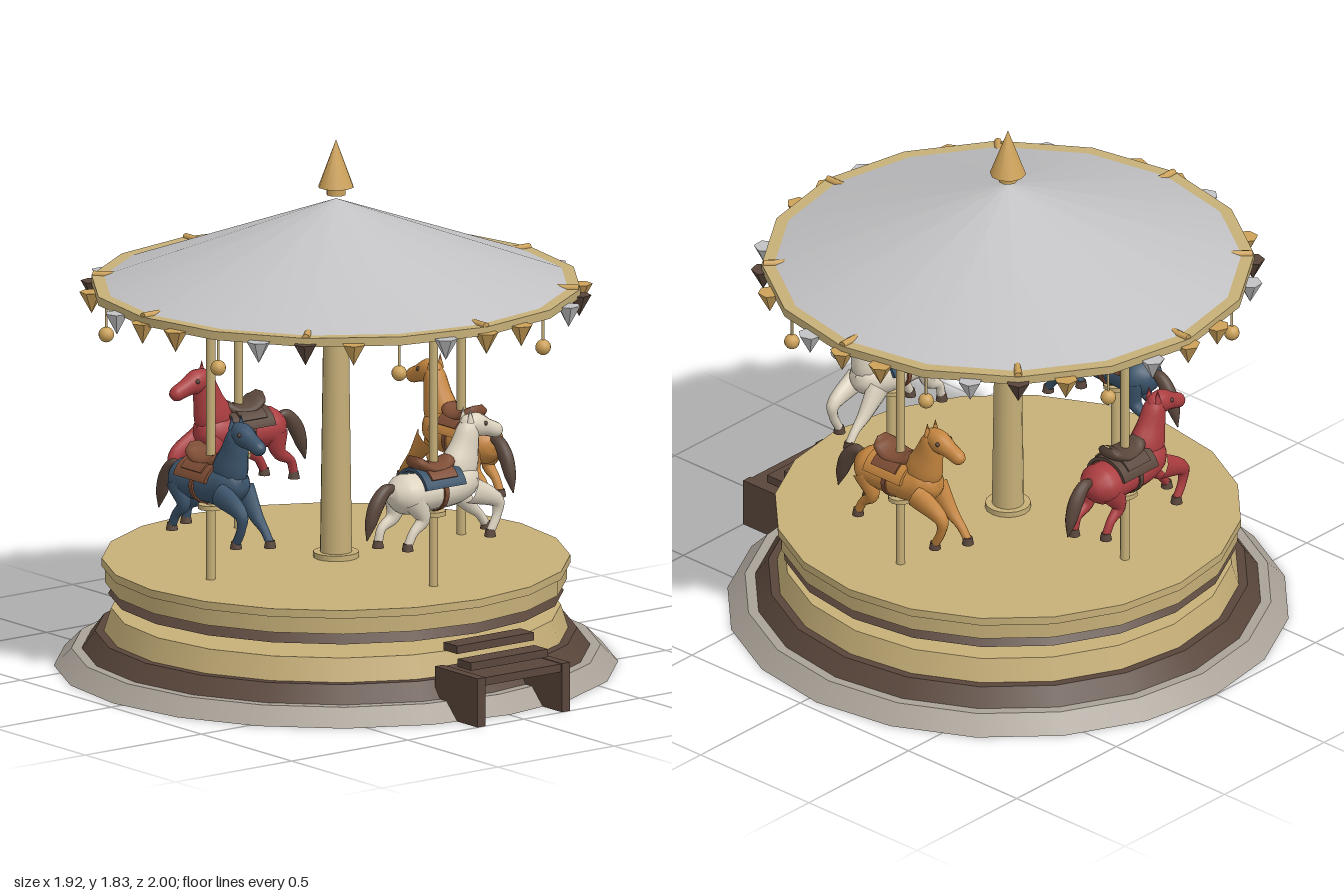
import * as THREE from 'three';

const mat = (name, color, flatShading = false) => {
  const m = new THREE.MeshStandardMaterial({ color });
  m.name = name;
  m.flatShading = flatShading;
  return m;
};

export function createModel() {
  const trim = mat('paleGold', 0xc6af78);
  const brass = mat('brass', 0xcda25a);
  const stone = mat('stone', 0xaaa298);
  const wood = mat('darkWood', 0x59463b);
  const silver = mat('silver', 0xc2c2c4);
  const cream = mat('cream', 0xddd3c0);
  const orange = mat('orange', 0xc4853f);
  const red = mat('red', 0xab3d40);
  const blue = mat('blue', 0x3b546b);
  const leather = mat('leather', 0x7c4c34);

  const model = new THREE.Group();
  model.name = 'carousel';
  const ride = new THREE.Group();
  ride.name = 'ride';
  ride.position.z = -0.04;
  model.add(ride);

  const add = (parent, name, geo, material, x = 0, y = 0, z = 0) => {
    const m = new THREE.Mesh(geo, material);
    m.name = name;
    m.position.set(x, y, z);
    parent.add(m);
    return m;
  };
  // Upright cylinder given by its bottom and top heights
  const drum = (parent, name, material, y0, y1, r0, r1, sides = 20, x = 0, z = 0) =>
    add(parent, name, new THREE.CylinderGeometry(r1, r0, y1 - y0, sides), material, x, (y0 + y1) / 2, z);

  // Tapered body along a path in the xy plane; stations are [x, y, height radius, width radius]
  const loft = (stations, steps = 20, sides = 14) => {
    const path = new THREE.CatmullRomCurve3(stations.map(s => new THREE.Vector3(s[0], s[1], 0)));
    const size = new THREE.CatmullRomCurve3(stations.map(s => new THREE.Vector3(s[2], s[3], 0)));
    const pos = [], index = [];
    for (let i = 0; i <= steps; i++) {
      const p = path.getPoint(i / steps), t = path.getTangent(i / steps), s = size.getPoint(i / steps);
      const r = Math.max(s.x, 0.001), w = Math.max(s.y, 0.001);
      for (let j = 0; j < sides; j++) {
        const a = j / sides * Math.PI * 2, c = Math.cos(a) * r;
        pos.push(p.x - t.y * c, p.y + t.x * c, Math.sin(a) * w);
        if (i === steps) continue;
        const k = i * sides + j, l = i * sides + (j + 1) % sides;
        index.push(k, l, k + sides, l, l + sides, k + sides);
      }
    }
    const g = new THREE.BufferGeometry();
    g.setAttribute('position', new THREE.Float32BufferAttribute(pos, 3));
    g.setIndex(index);
    g.computeVertexNormals();
    return g;
  };

  // Band wrapped over the horse's back, from one angle round to its mirror
  const band = (rz, ry, thick, startDeg, width) => {
    const a0 = startDeg * Math.PI / 180, a1 = Math.PI - a0;
    const pts = [];
    for (const [d, from, to] of [[0, a0, a1], [-thick, a1, a0]])
      for (let i = 0; i <= 20; i++) {
        const a = from + (to - from) * i / 20;
        pts.push(new THREE.Vector2(Math.cos(a) * (rz + d), Math.sin(a) * (ry + d)));
      }
    const g = new THREE.ExtrudeGeometry(new THREE.Shape(pts), { depth: width, bevelEnabled: false });
    g.translate(0, 0, -width / 2);
    return g.rotateY(Math.PI / 2);
  };

  // Stepped base and raised platform
  drum(ride, 'stoneBase', stone, 0, 0.06, 0.96, 0.9);
  drum(ride, 'darkPlinth', wood, 0.06, 0.12, 0.865, 0.82);
  drum(ride, 'lowerDrum', trim, 0.12, 0.2, 0.79, 0.765);
  drum(ride, 'hub', trim, 0.2, 0.25, 0.195, 0.195);
  drum(ride, 'platformSkirt', wood, 0.25, 0.288, 0.775, 0.74);
  drum(ride, 'platform', trim, 0.288, 0.345, 0.785, 0.785);
  drum(ride, 'platformRim', trim, 0.345, 0.373, 0.797, 0.797);

  // Centre column
  drum(ride, 'columnFoot', trim, 0.373, 0.392, 0.078, 0.078, 16);
  drum(ride, 'column', trim, 0.373, 1.31, 0.055, 0.042, 16);

  // Canopy and finial
  drum(ride, 'canopyRim', trim, 1.303, 1.333, 0.838, 0.838, 16);
  add(ride, 'canopy', new THREE.ConeGeometry(0.795, 0.292, 16), silver, 0, 1.479, 0);
  drum(ride, 'finialCollar', brass, 1.638, 1.668, 0.033, 0.033, 10);
  add(ride, 'finial', new THREE.ConeGeometry(0.062, 0.165, 10), brass, 0, 1.748, 0);

  // Radial pegs and hanging baubles around the rim
  for (let i = 0; i < 8; i++) {
    const spoke = new THREE.Group();
    spoke.name = 'rimSection';
    spoke.rotation.y = i * Math.PI / 4;
    ride.add(spoke);
    const peg = add(spoke, 'peg', new THREE.CylinderGeometry(0.013, 0.013, 0.085, 8), brass, 0, 1.334, 0.79);
    peg.rotation.x = Math.PI / 2;
    const a = Math.PI / 8, x = 0.81 * Math.sin(a), z = 0.81 * Math.cos(a);
    drum(spoke, 'baubleRod', trim, 1.21, 1.305, 0.005, 0.005, 6, x, z);
    add(spoke, 'bauble', new THREE.SphereGeometry(0.027, 12, 8), brass, x, 1.2, z);
  }

  // Pennants: six per quarter turn
  const pennant = new THREE.ConeGeometry(0.042, 0.075, 6).toNonIndexed();
  pennant.computeVertexNormals();
  pennant.rotateX(Math.PI);
  const row = [[0, brass], [1, brass], [3, silver], [4, wood], [5, brass], [7, silver]];
  for (let q = 0; q < 4; q++)
    for (const [slot, material] of row) {
      const a = (q * 8 + slot) * Math.PI / 16;
      add(ride, 'pennant', pennant, material, 0.833 * Math.sin(a), 1.275, 0.833 * Math.cos(a)).rotation.y = a;
    }

  // Shared horse parts, facing +x
  const bodyGeo = loft([[-0.19, 0.712, 0.001, 0.001], [-0.178, 0.712, 0.035, 0.04], [-0.125, 0.71, 0.07, 0.08],
    [-0.03, 0.708, 0.066, 0.078], [0.06, 0.715, 0.07, 0.08], [0.13, 0.732, 0.064, 0.066],
    [0.168, 0.745, 0.035, 0.035], [0.178, 0.748, 0.001, 0.001]], 28, 18);
  const neckGeo = loft([[0.075, 0.71, 0.06, 0.05], [0.108, 0.775, 0.072, 0.054], [0.132, 0.84, 0.055, 0.044],
    [0.147, 0.9, 0.04, 0.037], [0.152, 0.935, 0.02, 0.022], [0.153, 0.945, 0.001, 0.001]]);
  const headGeo = loft([[0.12, 0.925, 0.001, 0.001], [0.133, 0.923, 0.025, 0.024], [0.18, 0.91, 0.042, 0.036],
    [0.23, 0.893, 0.03, 0.028], [0.272, 0.877, 0.026, 0.025], [0.287, 0.872, 0.014, 0.014], [0.291, 0.87, 0.001, 0.001]]);
  const tailGeo = loft([[-0.165, 0.735, 0.012, 0.012], [-0.205, 0.735, 0.022, 0.02], [-0.245, 0.69, 0.028, 0.024],
    [-0.27, 0.63, 0.022, 0.02], [-0.287, 0.57, 0.002, 0.002]]);
  const seatGeo = loft([[-0.088, 0.84, 0.002, 0.02], [-0.076, 0.815, 0.022, 0.05], [-0.03, 0.79, 0.022, 0.058],
    [0.03, 0.79, 0.022, 0.052], [0.062, 0.808, 0.022, 0.036], [0.076, 0.832, 0.002, 0.012]]);
  const earGeo = new THREE.ConeGeometry(0.013, 0.05, 8);
  const hoofGeo = new THREE.CylinderGeometry(0.016, 0.021, 0.026, 10);
  // Leg joints: hip or shoulder, knee, ankle, hoof, then side
  const legs = [
    [[0.12, 0.7], [0.235, 0.645], [0.235, 0.6], [0.205, 0.54], 0.05],
    [[0.12, 0.7], [0.19, 0.62], [0.235, 0.58], [0.265, 0.54], -0.05],
    [[-0.12, 0.7], [-0.085, 0.625], [-0.125, 0.585], [-0.15, 0.54], 0.05],
    [[-0.12, 0.7], [-0.135, 0.625], [-0.185, 0.59], [-0.2, 0.54], -0.05],
  ];
  const legGeos = legs.map(l => loft([[...l[0], 0.048, 0.034], [...l[1], 0.026, 0.023],
    [...l[2], 0.016, 0.016], [...l[3], 0.015, 0.015]], 14, 10));

  // Four horses on poles, one per quarter turn
  const horses = [[cream, blue, leather], [orange, orange, leather], [red, wood, wood], [blue, leather, leather]];
  horses.forEach(([coat, blanket, saddle], i) => {
    const turn = new THREE.Group();
    turn.name = 'horseStation';
    turn.rotation.y = i * Math.PI / 2;
    ride.add(turn);
    drum(turn, 'pole', trim, 0.373, 1.31, 0.016, 0.016, 10, 0, 0.54);
    drum(turn, 'poleStop', trim, 0.62, 0.636, 0.043, 0.043, 12, 0, 0.54);

    const horse = new THREE.Group();
    horse.name = 'horse';
    horse.position.z = 0.54;
    turn.add(horse);
    add(horse, 'body', bodyGeo, coat);
    add(horse, 'neck', neckGeo, coat);
    add(horse, 'head', headGeo, coat);
    add(horse, 'tail', tailGeo, wood);
    for (const s of [-1, 1]) {
      add(horse, 'ear', earGeo, coat, 0.143, 0.95, s * 0.02);
      add(horse, 'eye', new THREE.SphereGeometry(0.008, 8, 6), wood, 0.2, 0.917, s * 0.031);
    }
    legs.forEach((l, k) => {
      add(horse, 'leg', legGeos[k], coat, 0, 0, l[4]);
      add(horse, 'hoof', hoofGeo, wood, l[3][0], 0.538, l[4]);
    });
    // Tack
    add(horse, 'blanket', band(0.091, 0.084, 0.012, 14, 0.17), blanket, -0.01, 0.713, 0);
    add(horse, 'saddleFlap', band(0.096, 0.092, 0.012, 34, 0.11), saddle, -0.01, 0.713, 0);
    add(horse, 'girth', band(0.085, 0.074, 0.008, -89, 0.018), saddle, -0.005, 0.711, 0);
    add(horse, 'saddle', seatGeo, saddle);
  });

  // Boarding steps
  const steps = new THREE.Group();
  steps.name = 'steps';
  model.add(steps);
  const box = (name, w, h, d, x, y, z) => add(steps, name, new THREE.BoxGeometry(w, h, d), wood, x, y, z);
  for (const s of [-1, 1]) box('stepSide', 0.035, 0.17, 0.235, s * 0.182, 0.085, 0.882);
  box('lowerTread', 0.33, 0.028, 0.22, 0, 0.154, 0.885);
  box('middleTread', 0.33, 0.028, 0.075, 0, 0.192, 0.883);
  box('upperTread', 0.33, 0.028, 0.075, 0, 0.236, 0.806);
  return model;
}
